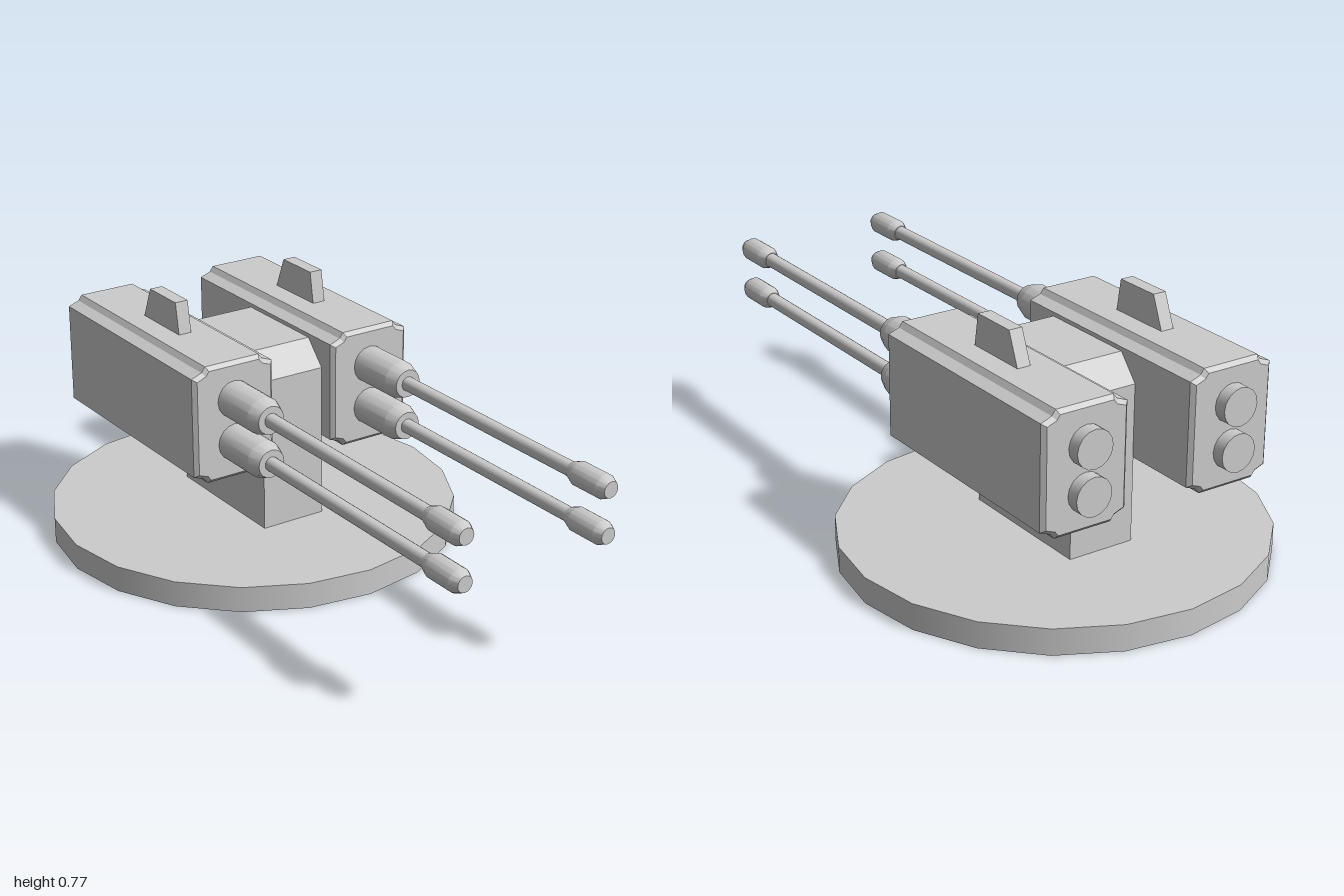
import * as THREE from 'three';
import { toCreasedNormals } from 'three/addons/utils/BufferGeometryUtils.js';

const material = new THREE.MeshStandardMaterial({ color: 0xcccccc });
const flat = new THREE.MeshStandardMaterial({ color: 0xcccccc, flatShading: true });

function add(parent, name, geometry, mat = material) {
  const mesh = new THREE.Mesh(geometry, mat);
  mesh.name = name;
  parent.add(mesh);
  return mesh;
}

const shapeOf = (points) => new THREE.Shape(points.map(([x, y]) => new THREE.Vector2(x, y)));

// Side profile given as [z, y], extruded across x and centred on x = 0
function sideExtrude(points, width) {
  const shape = shapeOf(points.map(([z, y]) => [-z, y]));
  return new THREE.ExtrudeGeometry(shape, { depth: width, bevelEnabled: false })
    .translate(0, 0, -width / 2)
    .rotateY(Math.PI / 2);
}

// Turned part along z, profile given as [radius, z] from back to front
function turned(points) {
  const lathe = new THREE.LatheGeometry(points.map(([r, z]) => new THREE.Vector2(r, z)), 16);
  return toCreasedNormals(lathe.rotateX(Math.PI / 2), 0.5);
}

// Housing with stepped corner chamfers and a small bevel at both ends
function housingGeometry() {
  const w = 0.137, h = 0.183, bevel = 0.012, zBack = -0.84, zFront = -0.083;
  const corner = [[w, h - 0.029], [w - 0.034, h - 0.016], [w - 0.046, h]];
  const mirrored = (sx, sy) => corner.map(([x, y]) => [x * sx, y * sy]);
  const outline = [
    ...mirrored(1, 1), ...mirrored(-1, 1).reverse(),
    ...mirrored(-1, -1), ...mirrored(1, -1).reverse(),
  ];
  return new THREE.ExtrudeGeometry(shapeOf(outline), {
    depth: zFront - zBack - 2 * bevel,
    bevelSize: bevel, bevelThickness: bevel, bevelOffset: -bevel, bevelSegments: 1,
  }).translate(0, 0.493, zBack + bevel);
}

function createGun(name) {
  const gun = new THREE.Group();
  gun.name = name;
  add(gun, 'housing', housingGeometry(), flat);
  add(gun, 'sight', sideExtrude(
    [[-0.353, 0.67], [-0.56, 0.67], [-0.518, 0.773], [-0.37, 0.773]].reverse(), 0.042), flat);

  // Two stacked barrels, each with sleeve, rod, muzzle and rear cap
  for (const [label, y] of [['upper', 0.56], ['lower', 0.425]]) {
    const parts = {
      Sleeve: [[0, -0.1], [0.057, -0.1], [0.057, 0.07], [0.043, 0.11], [0, 0.11]],
      Barrel: [[0, 0.1], [0.022, 0.1], [0.022, 0.86], [0, 0.86]],
      Muzzle: [[0, 0.845], [0.024, 0.845], [0.036, 0.875], [0.036, 0.975], [0.024, 1], [0, 1]],
      RearCap: [[0, -0.878], [0.057, -0.878], [0.057, -0.83], [0, -0.83]],
    };
    for (const [part, profile] of Object.entries(parts)) {
      add(gun, label + part, turned(profile)).position.y = y;
    }
  }
  return gun;
}

export function createModel() {
  const model = new THREE.Group();
  model.name = 'twinGunTurret';

  // Round base plate
  const base = new THREE.CylinderGeometry(0.632, 0.632, 0.08, 20);
  add(model, 'base', base).position.set(0, 0.04, -0.368);

  // Central column with chamfered top edges
  add(model, 'column', sideExtrude([
    [-0.14, 0.07], [-0.14, 0.56], [-0.21, 0.635],
    [-0.53, 0.635], [-0.595, 0.56], [-0.595, 0.07],
  ], 0.212), flat);

  // Guns on either side
  for (const [name, side] of [['leftGun', 1], ['rightGun', -1]]) {
    const gun = createGun(name);
    gun.position.x = side * 0.241;
    model.add(gun);
  }
  return model;
}
